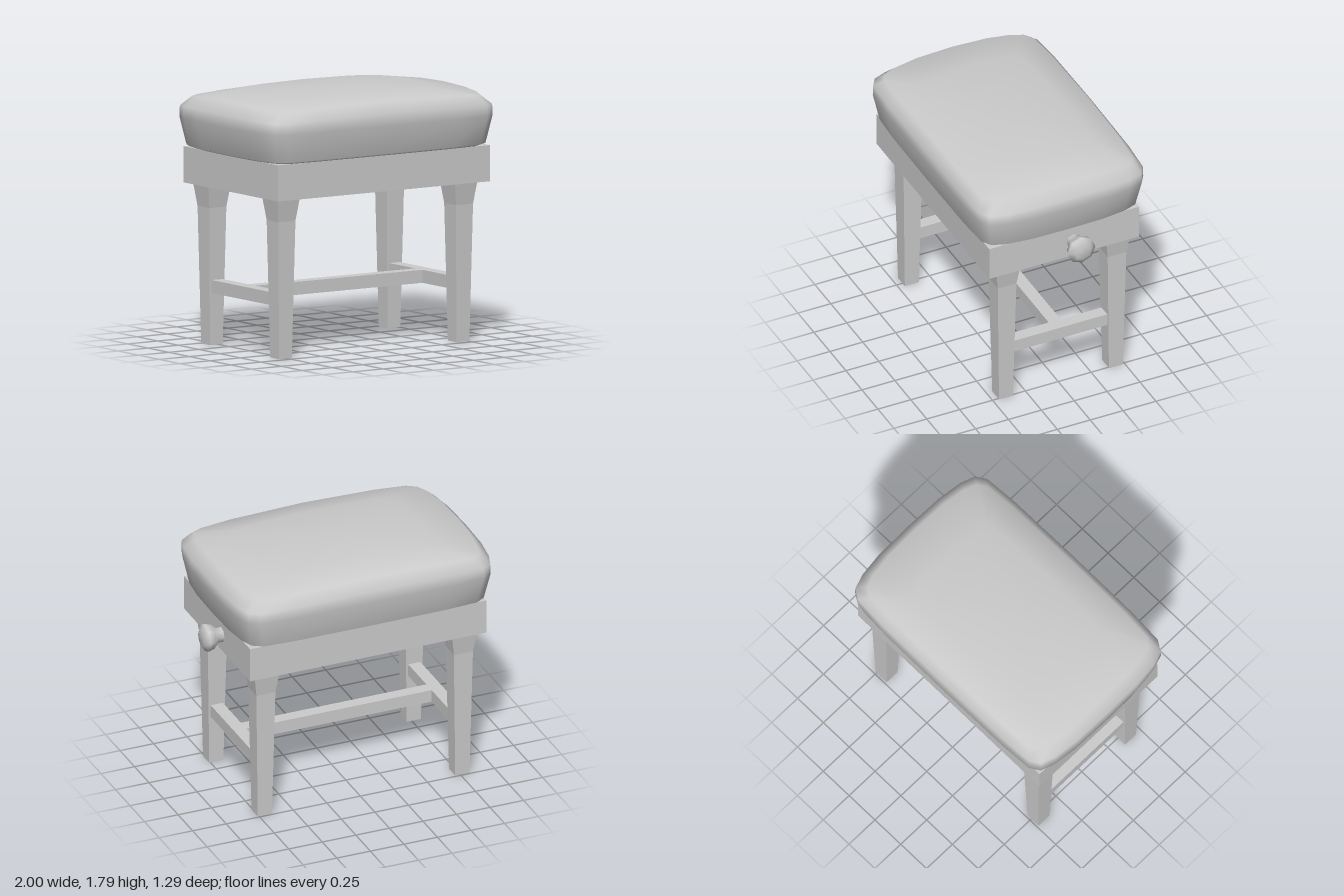
import * as THREE from 'three';

const smooth = new THREE.MeshStandardMaterial({ color: 0xcccccc });
const flat = new THREE.MeshStandardMaterial({ color: 0xcccccc, flatShading: true });
const CX = -0.03, CZ = -0.016; // centre of the frame

function addMesh(group, name, geometry, material, x = 0, y = 0, z = 0) {
  const mesh = new THREE.Mesh(geometry, material);
  mesh.name = name;
  mesh.position.set(x, y, z);
  group.add(mesh);
  return mesh;
}

// Rounded rectangle outline of half size 1, mirrored from one quarter
function outline() {
  const q = [[1, 0], [0.995, 0.45], [0.972, 0.74], [0.935, 0.9], [0.86, 0.972], [0.6, 0.995]];
  const first = [...q, [0, 1]];
  const half = [...first, ...q.slice(1).reverse().map(([x, z]) => [-x, z]), [-1, 0]];
  return [...half, ...half.slice(1, -1).reverse().map(([x, z]) => [x, -z])];
}

// Padded cushion lofted through stacked outlines: half x, half z, height, corner drop
function cushionGeometry() {
  const layers = [
    [0.89, 0.58, 1.36, 0],
    [0.925, 0.607, 1.374, 0],
    [0.965, 0.643, 1.57, 0],
    [0.962, 0.641, 1.655, 0.015],
    [0.89, 0.585, 1.735, 0.035],
    [0.58, 0.38, 1.777, 0.015],
  ];
  const ring = outline(), n = ring.length;
  const pos = [], index = [];
  for (const [hx, hz, y, drop] of layers) {
    for (const [x, z] of ring) pos.push(x * hx, y - drop * (x * z) ** 2, z * hz);
  }
  const top = pos.length / 3, bottom = top + 1;
  pos.push(0, 1.79, 0, 0, 1.36, 0);
  for (let j = 0; j < n; j++) {
    const k = (j + 1) % n;
    for (let i = 0; i < layers.length - 1; i++) {
      const a = i * n + j, b = i * n + k;
      index.push(a, a + n, b, b, a + n, b + n);
    }
    const last = (layers.length - 1) * n;
    index.push(last + j, top, last + k, j, k, bottom);
  }
  const g = new THREE.BufferGeometry();
  g.setAttribute('position', new THREE.Float32BufferAttribute(pos, 3));
  g.setIndex(index);
  g.computeVertexNormals();
  return g;
}

// Square tapered leg that flares above the knee
function legGeometry() {
  const g = new THREE.BoxGeometry(2, 2, 2, 1, 2, 1);
  const p = g.attributes.position;
  for (let i = 0; i < p.count; i++) {
    const level = Math.round(p.getY(i)) + 1;
    const r = [0.053, 0.071, 0.093][level];
    p.setXYZ(i, p.getX(i) * r, [0, 0.95, 1.11][level], p.getZ(i) * r);
  }
  g.computeVertexNormals();
  return g;
}

export function createModel() {
  const model = new THREE.Group();
  model.name = 'adjustableBench';

  addMesh(model, 'cushion', cushionGeometry(), smooth, -0.035, 0, 0);
  addMesh(model, 'apron', new THREE.BoxGeometry(1.76, 0.25, 1.14), flat, CX, 1.235, 0.003);

  // Legs and side stretchers
  const leg = legGeometry();
  for (const sx of [-1, 1]) {
    const x = CX + sx * 0.736;
    for (const sz of [-1, 1]) {
      addMesh(model, (sz > 0 ? 'front' : 'back') + (sx > 0 ? 'Left' : 'Right') + 'Leg',
        leg, flat, x, 0, CZ + sz * 0.418);
    }
    addMesh(model, sx > 0 ? 'leftStretcher' : 'rightStretcher',
      new THREE.BoxGeometry(0.09, 0.09, 0.74), flat, x, 0.405, CZ);
  }
  addMesh(model, 'middleStretcher', new THREE.BoxGeometry(1.4, 0.09, 0.09), flat, CX, 0.405, CZ);

  // Height adjusting knob on the left side
  const profile = [[0.055, 0], [0.055, 0.045], [0.09, 0.078], [0.104, 0.125], [0.06, 0.15], [0, 0.152]]
    .map(([r, y]) => new THREE.Vector2(r, y));
  const knob = addMesh(model, 'knob', new THREE.LatheGeometry(profile, 8), smooth, 0.848, 1.23, -0.07);
  knob.rotation.z = -Math.PI / 2;

  return model;
}
